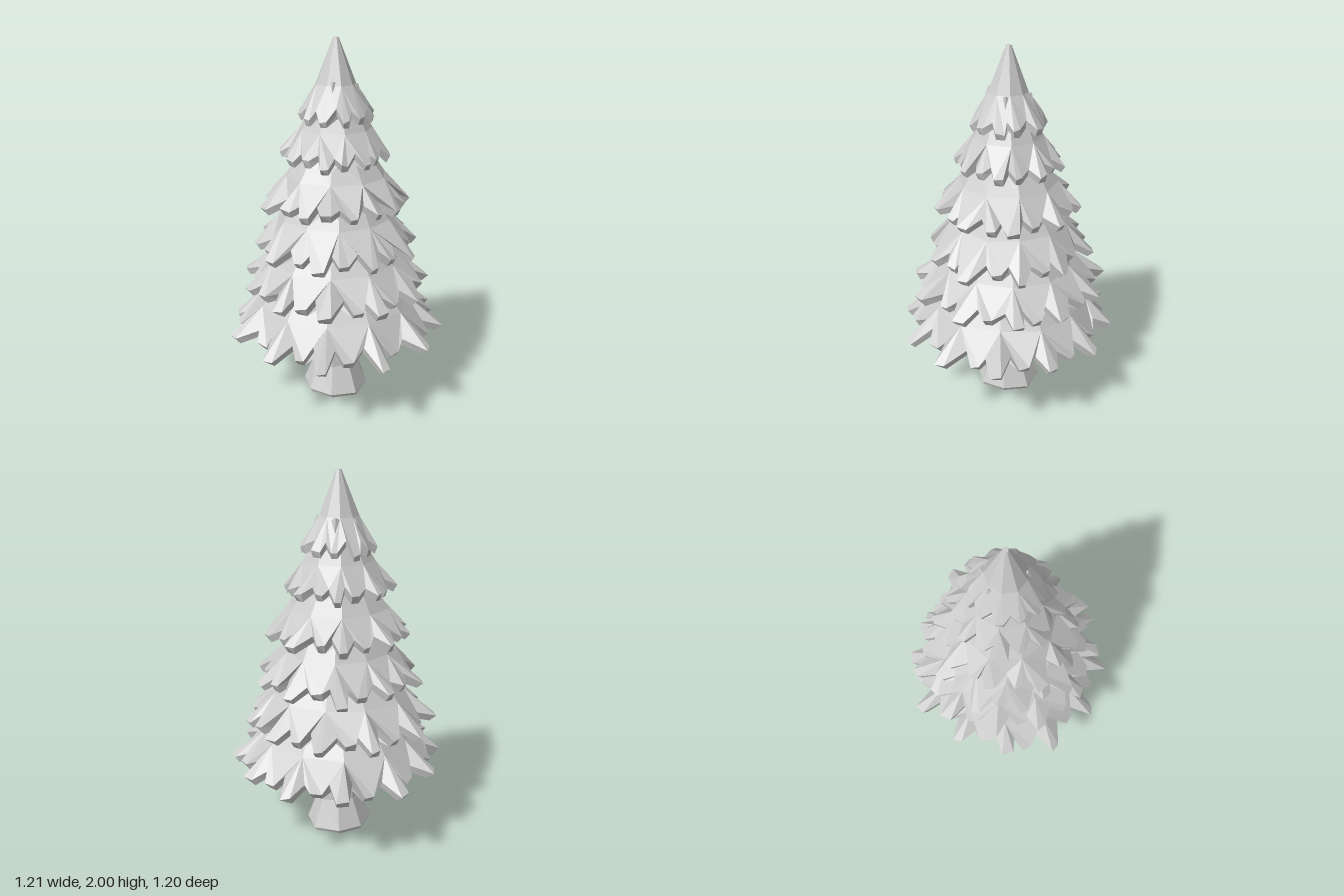
import * as THREE from 'three';

// Small seeded random, returns -1..1
let seed = 7;
const jitter = (amount = 1) => {
  seed = (seed * 16807) % 2147483647;
  return ((seed / 2147483647) * 2 - 1) * amount;
};

const point = (r, angle, y) => new THREE.Vector3(r * Math.sin(angle), y, r * Math.cos(angle));

// Skin closed rings listed from top to bottom, with faceted normals
function skin(rings) {
  const pos = [];
  const tri = (a, b, c) => {
    const area = b.clone().sub(a).cross(c.clone().sub(a)).length();
    if (area > 1e-7) pos.push(...a, ...b, ...c);
  };
  for (let k = 0; k < rings.length - 1; k++) {
    const up = rings[k], low = rings[k + 1], n = up.length;
    for (let j = 0; j < n; j++) {
      const i = (j + 1) % n;
      tri(up[j], low[j], low[i]);
      tri(up[j], low[i], up[i]);
    }
  }
  const geo = new THREE.BufferGeometry();
  geo.setAttribute('position', new THREE.Float32BufferAttribute(pos, 3));
  geo.computeVertexNormals();
  return geo;
}

// One skirt of branches: a coarse cone fanning out into blunt, drooping teeth
function tierGeometry({ tip, low, neck, top, teeth, sides, mid }) {
  const rings = Array.from({ length: 7 }, () => []);
  const step = (Math.PI * 2) / teeth;
  const facet = (Math.PI * 2) / sides;
  const bulge = Array.from({ length: sides }, () => 1 + jitter(0.05));
  const lipY = low + 0.045;
  const [midR, midY] = mid ?? [neck + (tip - neck) * 0.42, top + (lipY - top) * 0.53];
  for (let t = 0; t < teeth; t++) {
    const big = t % 2 === 0;
    const r = tip * ((big ? 1.0 : 0.91) + jitter(0.045));
    const lift = jitter(0.012) + (big ? 0 : 0.012);
    const a = t * step + jitter(step * 0.14);
    const width = step * (0.13 + Math.abs(jitter(0.1)));
    const valley = tip * (0.79 + jitter(0.04));
    const valleyY = lipY + (midY - lipY) * 0.32 + jitter(0.012);
    // columns: valley, left corner, right corner
    [a - step / 2, a - width, a + width].forEach((angle, c) => {
      const isTip = c > 0;
      const f = Math.round(angle / facet);
      const b = bulge[(f + sides) % sides];
      rings[0].push(point(0.001, 0, top));
      rings[1].push(point(neck, f * facet, top));
      rings[2].push(point(midR * b, f * facet, midY));
      rings[3].push(isTip
        ? point(r * (c === 1 ? 1 : 0.97), angle, lipY + lift + jitter(0.008))
        : point(valley, angle, valleyY));
      rings[4].push(isTip
        ? point(r * 0.93, angle, low + 0.01 + lift * 0.8)
        : point(valley * 0.95, angle, valleyY - 0.035));
      rings[5].push(point(tip * 0.68, f * facet, low + 0.07));
      rings[6].push(point(0.02, f * facet, low + 0.15));
    });
  }
  return skin(rings);
}

// Eight-sided trunk with a flared, uneven foot
function trunkGeometry() {
  const n = 8;
  const profile = [[0.11, 0.6], [0.115, 0.38], [0.12, 0.17], [0.185, 0.02], [0.175, 0], [0.001, 0]];
  const wobble = Array.from({ length: n }, () => 1 + jitter(0.05));
  return skin(profile.map(([r, y], k) => Array.from({ length: n }, (_, j) =>
    point(r * wobble[j], ((j + 0.5) / n) * Math.PI * 2 + k * 0.03,
      k === 2 ? y + jitter(0.025) : y))));
}

export function createModel() {
  seed = 7;
  const tree = new THREE.Group();
  tree.name = 'pineTree';
  const material = new THREE.MeshStandardMaterial({ color: 0xcccccc, flatShading: true });
  const add = (name, geometry, parent = tree) => {
    const mesh = new THREE.Mesh(geometry, material);
    mesh.name = name;
    parent.add(mesh);
    return mesh;
  };

  add('trunk', trunkGeometry());

  // Branch tiers from the ground up
  const branches = new THREE.Group();
  branches.name = 'branches';
  tree.add(branches);
  const tiers = [
    { tip: 0.6, low: 0.385, neck: 0.29, top: 0.76, teeth: 24, sides: 12 },
    { tip: 0.535, low: 0.635, neck: 0.24, top: 0.99, teeth: 22, sides: 11 },
    { tip: 0.46, low: 0.865, neck: 0.19, top: 1.24, teeth: 20, sides: 11 },
    { tip: 0.405, low: 1.11, neck: 0.16, top: 1.45, teeth: 18, sides: 10 },
    { tip: 0.3, low: 1.355, neck: 0.1, top: 1.7, teeth: 16, sides: 9 },
    { tip: 0.212, low: 1.565, neck: 0.014, top: 2, teeth: 12, sides: 9, mid: [0.105, 1.77] },
  ];
  tiers.forEach((tier, i) => {
    add(`branchTier${i + 1}`, tierGeometry(tier), branches).rotation.y = i === 0 ? 0 : i * 0.7;
  });

  // Small loose sprigs on the crown
  const sprig = new THREE.ConeGeometry(0.03, 0.09, 4).rotateX(Math.PI * 0.8);
  for (const [angle, r, y] of [[0.5, 0.115, 1.72], [1.9, 0.12, 1.72], [2.9, 0.115, 1.71], [3.6, 0.09, 1.76], [5.2, 0.105, 1.74]]) {
    const mesh = add('crownSprig', sprig, branches);
    mesh.position.copy(point(r, angle, y));
    mesh.rotation.y = angle;
  }
  return tree;
}
